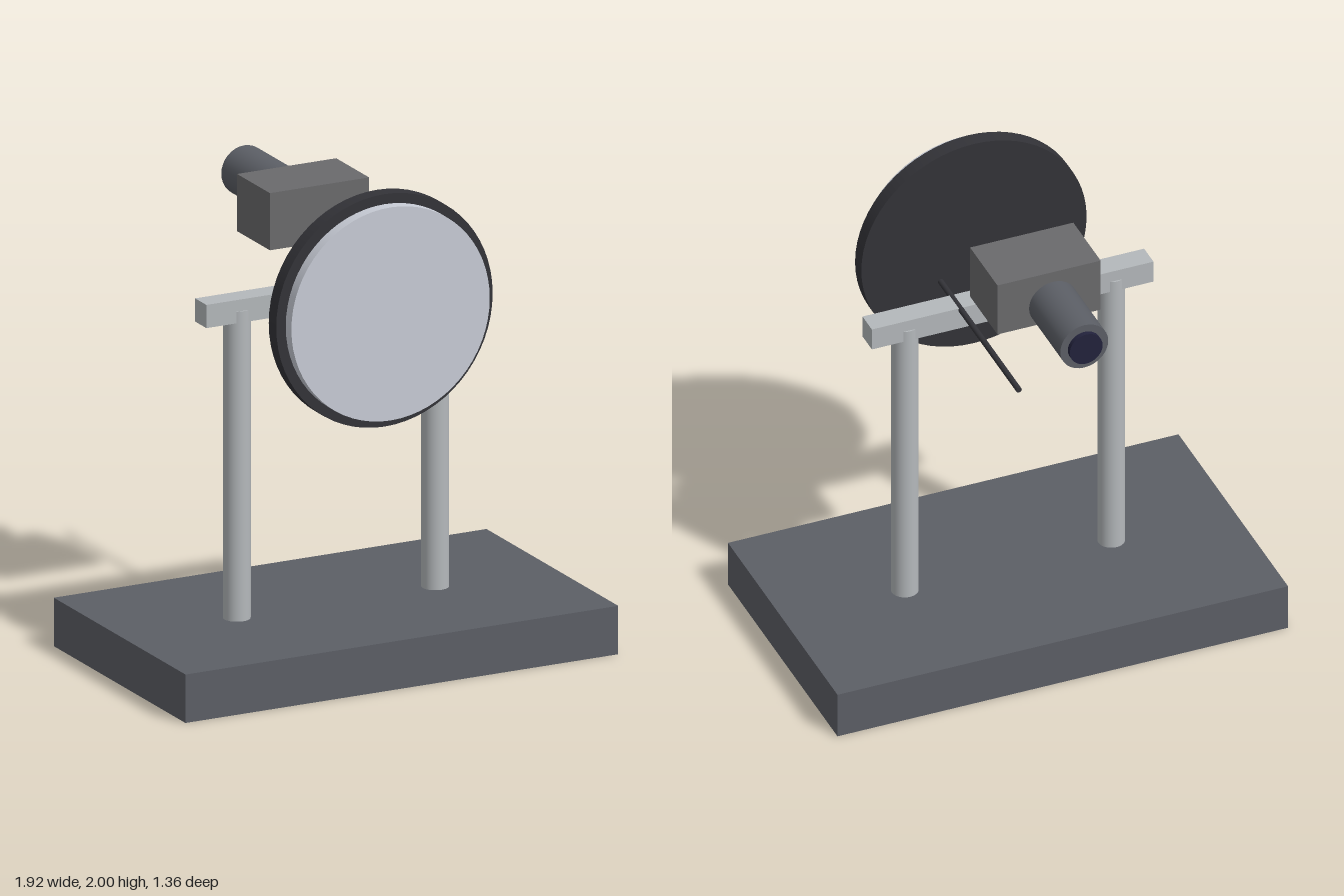
import * as THREE from 'three';

const paint = (color) => new THREE.MeshStandardMaterial({ color });

export function createModel() {
  const model = new THREE.Group();
  const slate = paint(0x5c5f66);
  const silver = paint(0xb4b8bb);
  const black = paint(0x333338);
  const pale = paint(0xc8ccd6);
  const grey = paint(0x6a6a6c);
  const lensBlue = paint(0x22223c);

  const add = (name, geometry, material, x, y, z) => {
    const mesh = new THREE.Mesh(geometry, material);
    mesh.name = name;
    mesh.position.set(x, y, z);
    model.add(mesh);
    return mesh;
  };
  const box = (name, w, h, d, material, x, y, z) =>
    add(name, new THREE.BoxGeometry(w, h, d), material, x, y, z);
  // Cylinder lying along z between two depths
  const barrel = (name, r, z0, z1, sides, material, x, y) =>
    add(name, new THREE.CylinderGeometry(r, r, z1 - z0, sides).rotateX(Math.PI / 2),
      material, x, y, (z0 + z1) / 2);

  // Base slab
  box('base', 1.92, 0.2, 1.12, slate, 0, 0.1, 0.12);

  // Two posts carrying the crossbar
  for (const side of [-1, 1]) {
    add(side > 0 ? 'leftPost' : 'rightPost',
      new THREE.CylinderGeometry(0.055, 0.055, 1.28, 32), silver, side * 0.44, 0.84, 0.12);
  }
  box('crossbar', 1.2, 0.096, 0.096, silver, 0, 1.48, 0.12);

  // Round front dish: dark backing and pale face
  barrel('dishBacking', 0.48, 0.468, 0.532, 64, black, 0, 1.52);
  barrel('dishFace', 0.44, 0.536, 0.584, 64, pale, 0, 1.52);

  // Thin rod running front to back
  barrel('rod', 0.012, -0.52, 0.28, 16, black, 0.22, 1.52);

  // Rear housing, barrel and lens
  box('housing', 0.44, 0.236, 0.28, grey, 0, 1.762, -0.16);
  barrel('lensBarrel', 0.102, -0.66, -0.34, 32, slate, 0, 1.762);
  barrel('lens', 0.07, -0.68, -0.64, 32, lensBlue, 0, 1.762);

  return model;
}
